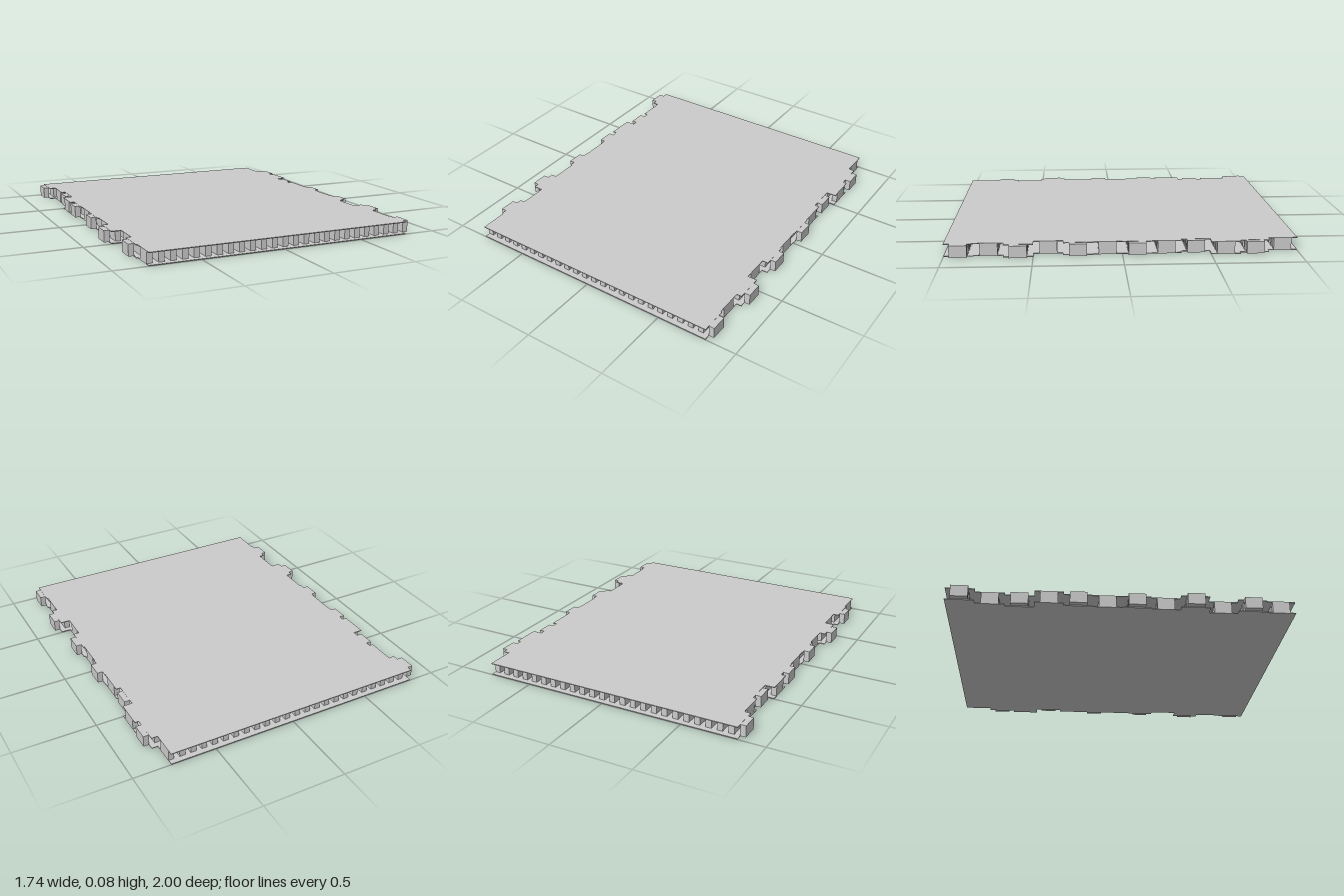
import * as THREE from 'three';
import { mergeGeometries } from 'three/addons/utils/BufferGeometryUtils.js';

// Left edge of the sheet in each row, back to front, and the side its last fin overhangs
const ROWS = [
  [-0.837, -1], [-0.8, 1], [-0.777, -1], [-0.835, 1], [-0.808, -1], [-0.805, 1],
  [-0.808, -1], [-0.8, 1], [-0.835, -1], [-0.777, 1], [-0.808, -1], [-0.8, 1],
];
const CELLS = 24;
const WIDTH = 1.61;
const PITCH = WIDTH / CELLS;
const FIN = PITCH / 2;
const ROW = 2 / ROWS.length;
const HEIGHT = 0.075;
const SKIN = 0.005;

const material = new THREE.MeshStandardMaterial({ color: 0xcccccc });

// Thin sheet whose side edges step from row to row
function sheetGeometry() {
  const right = [], left = [];
  ROWS.forEach(([x], i) => {
    const z0 = -1 + i * ROW, z1 = z0 + ROW;
    left.push(new THREE.Vector2(x, -z0), new THREE.Vector2(x, -z1));
    right.push(new THREE.Vector2(x + WIDTH, -z0), new THREE.Vector2(x + WIDTH, -z1));
  });
  const shape = new THREE.Shape([...left, ...right.reverse()]);
  const geometry = new THREE.ExtrudeGeometry(shape, { depth: SKIN, bevelEnabled: false });
  return geometry.rotateX(-Math.PI / 2);
}

// One row of upright fins, half a pitch wide, the last one clear of the sheet
function finRowGeometry(left, side, z) {
  const start = side < 0 ? left - FIN : left;
  const fins = [];
  for (let i = 0; i <= CELLS; i++) {
    const fin = new THREE.BoxGeometry(FIN, HEIGHT - SKIN - 0.001, 0.1);
    fins.push(fin.translate(start + i * PITCH + FIN / 2, (HEIGHT + SKIN - 0.001) / 2, z));
  }
  return mergeGeometries(fins);
}

export function createModel() {
  const model = new THREE.Group();
  model.name = 'offsetFinPanel';

  // Top and bottom sheets
  const sheet = sheetGeometry();
  for (const [name, y] of [['bottomSheet', 0], ['topSheet', HEIGHT - SKIN]]) {
    const mesh = new THREE.Mesh(sheet, material);
    mesh.name = name;
    mesh.position.y = y;
    model.add(mesh);
  }

  // Staggered fin rows between the sheets
  ROWS.forEach(([left, side], i) => {
    const mesh = new THREE.Mesh(finRowGeometry(left, side, -1 + (i + 0.5) * ROW), material);
    mesh.name = `finRow${i + 1}`;
    model.add(mesh);
  });
  return model;
}
